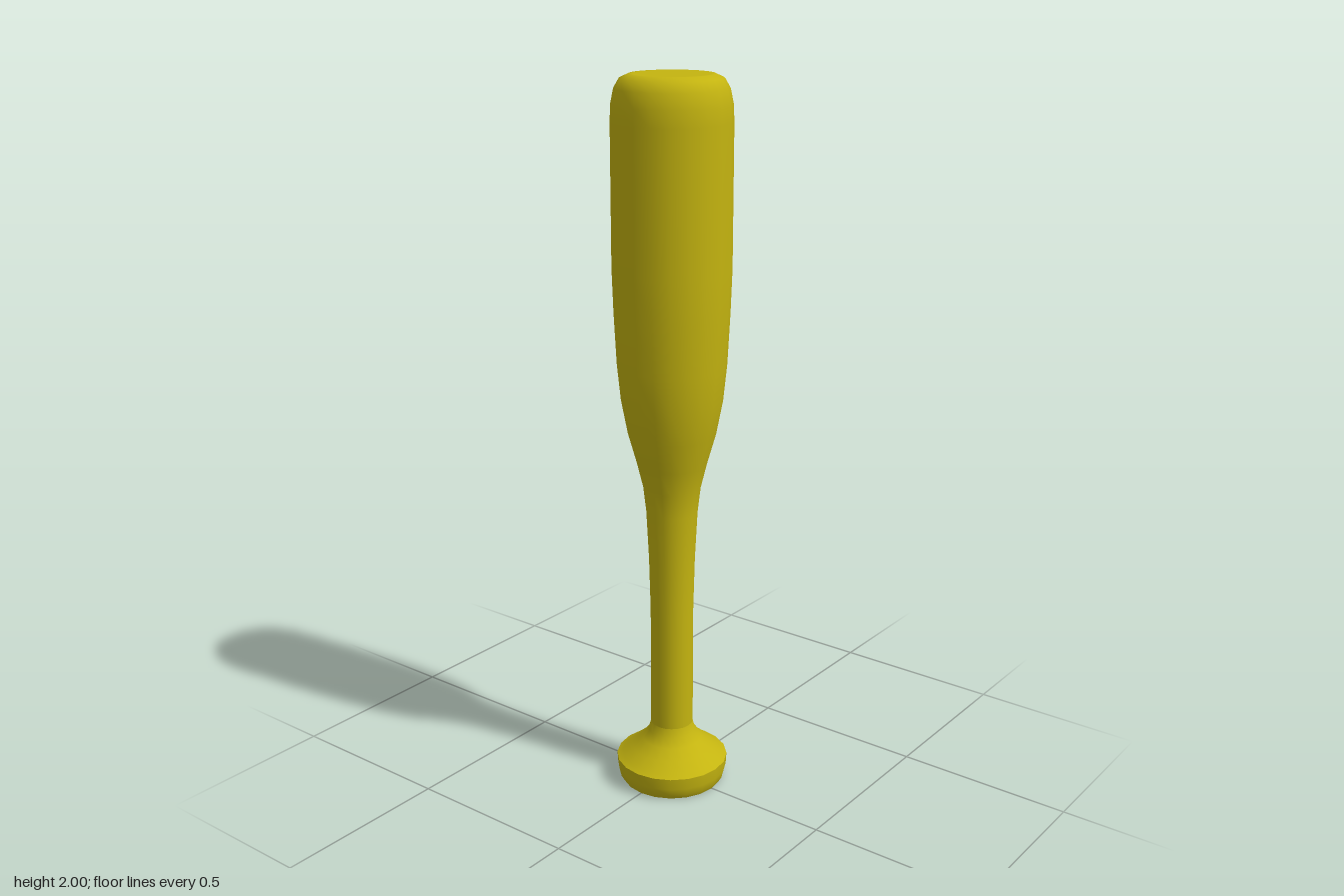
import * as THREE from 'three';

const SIDES = 20;

export function createModel() {
  const group = new THREE.Group();
  group.name = 'bat';
  const material = new THREE.MeshStandardMaterial({ color: 0xc4b410 });

  // Each part is a turned profile of [radius, height] from bottom to top.
  const turn = (name, profile) => {
    const points = profile.map(([r, y]) => new THREE.Vector2(r, y));
    const mesh = new THREE.Mesh(new THREE.LatheGeometry(points, SIDES), material);
    mesh.name = name;
    group.add(mesh);
  };

  // Flat underside of the knob
  turn('knobBase', [[0, 0], [0.144, 0]]);

  // Rounded rim of the knob
  turn('knobRim', [[0.144, 0], [0.152, 0.014], [0.157, 0.035], [0.159, 0.068]]);

  // Flare from the knob into the handle
  turn('knobFlare', [
    [0.159, 0.068], [0.142, 0.078], [0.115, 0.1], [0.085, 0.125],
    [0.067, 0.15], [0.06, 0.175],
  ]);

  // Slim handle widening into the barrel, with a rounded tip
  turn('handleAndBarrel', [
    [0.06, 0.175], [0.06, 0.52], [0.064, 0.68], [0.071, 0.82], [0.079, 0.89],
    [0.096, 0.96], [0.12, 1.045], [0.138, 1.14], [0.148, 1.24],
    [0.155, 1.38], [0.159, 1.5], [0.159, 1.88], [0.157, 1.925],
    [0.149, 1.964], [0.134, 1.99], [0.112, 2], [0.1, 2], [0, 2],
  ]);

  return group;
}
